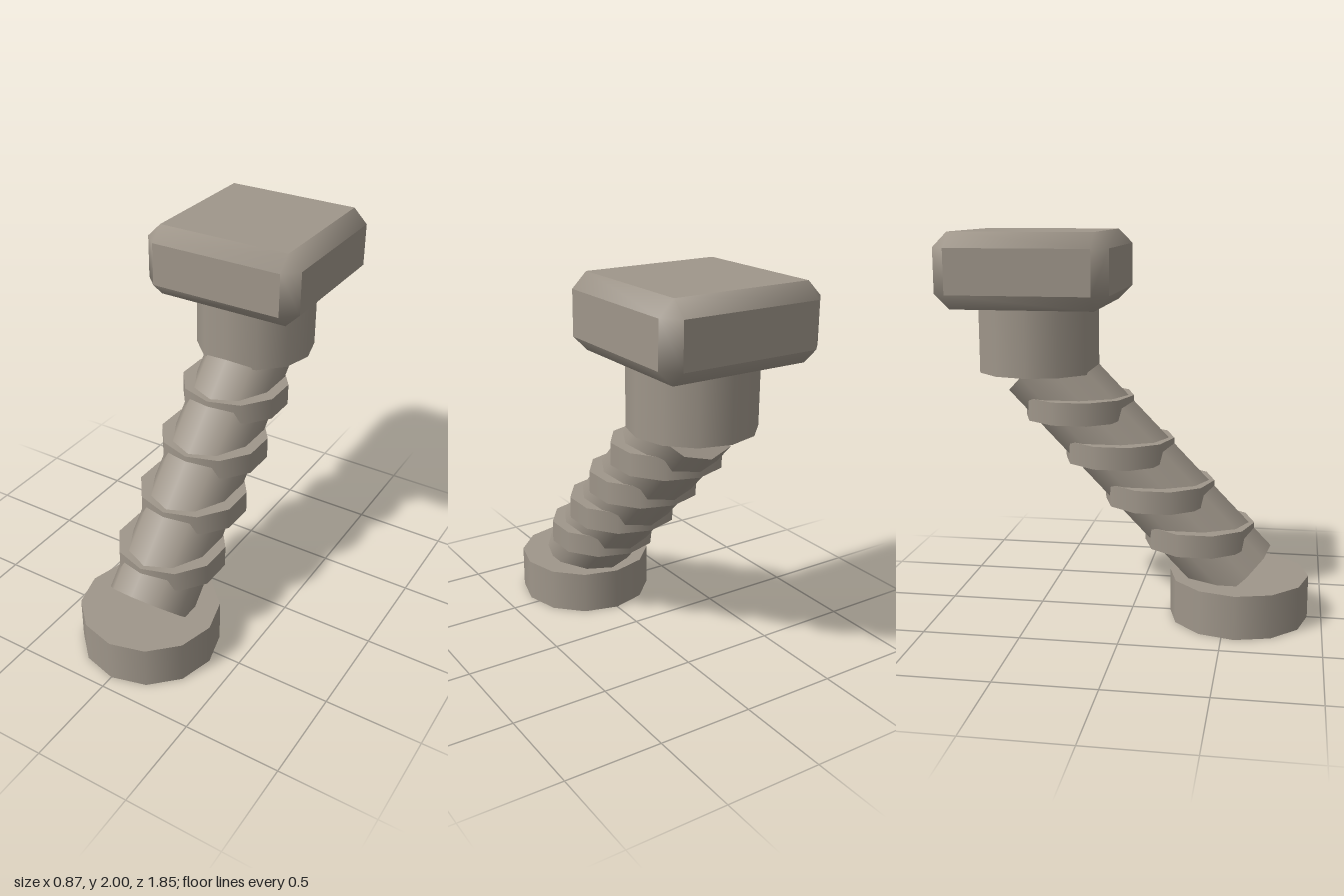
import * as THREE from 'three';
import { ConvexGeometry } from 'three/addons/geometries/ConvexGeometry.js';

const material = new THREE.MeshStandardMaterial({ color: 0x9f968a });

function addPart(group, name, geometry, x, y, z) {
  const mesh = new THREE.Mesh(geometry, material);
  mesh.name = name;
  mesh.position.set(x, y, z);
  group.add(mesh);
  return mesh;
}

// Box with one straight bevel per edge: flat main faces, bevels smoothed among themselves
function bevelledBox(w, h, d, bevel) {
  const half = [w / 2, h / 2, d / 2];
  const points = [];
  for (let axis = 0; axis < 3; axis++)
    for (const sx of [-1, 1]) for (const sy of [-1, 1]) for (const sz of [-1, 1]) {
      const sign = [sx, sy, sz];
      points.push(new THREE.Vector3(...half.map((v, i) => sign[i] * (i === axis ? v : v - bevel))));
    }
  const geometry = new ConvexGeometry(points);
  const { position, normal } = geometry.attributes;
  const n = new THREE.Vector3();
  for (let i = 0; i < position.count; i++) {
    n.fromBufferAttribute(normal, i);
    if (Math.max(Math.abs(n.x), Math.abs(n.y), Math.abs(n.z)) > 0.9) continue;
    // Bevel corners lean towards the main face they touch
    n.fromBufferAttribute(position, i);
    n.fromArray(n.toArray().map((v, k) =>
      Math.sign(v) * (Math.abs(v) > half[k] - bevel / 2 ? 1.65 : 1))).normalize();
    normal.setXYZ(i, n.x, n.y, n.z);
  }
  return geometry;
}

export function createModel() {
  const group = new THREE.Group();
  group.name = 'slantedPost';

  // Round foot
  addPart(group, 'base', new THREE.CylinderGeometry(0.362, 0.362, 0.228, 12), 0, 0.114, 0.565);

  // Leaning stem
  const bottom = new THREE.Vector3(0, 0.228, 0.565);
  const top = new THREE.Vector3(0, 1.322, -0.491);
  const axis = top.clone().sub(bottom);
  const middle = bottom.clone().lerp(top, 0.5);
  const stem = addPart(group, 'stem',
    new THREE.CylinderGeometry(0.226, 0.226, axis.length(), 10), 0, middle.y, middle.z);
  stem.rotation.x = Math.atan2(axis.z, axis.y);

  // Level collars spaced along the stem
  const collar = new THREE.CylinderGeometry(0.286, 0.286, 0.117, 10);
  for (let i = 1; i <= 4; i++) {
    const p = bottom.clone().lerp(top, i / 5);
    addPart(group, 'collar' + i, collar, 0, p.y, p.z);
  }

  // Neck and bevelled head
  addPart(group, 'neck', new THREE.CylinderGeometry(0.316, 0.316, 0.343, 12), 0, 1.4565, -0.492);
  addPart(group, 'head', bevelledBox(0.868, 0.374, 0.868, 0.075), 0, 1.813, -0.492);

  return group;
}
